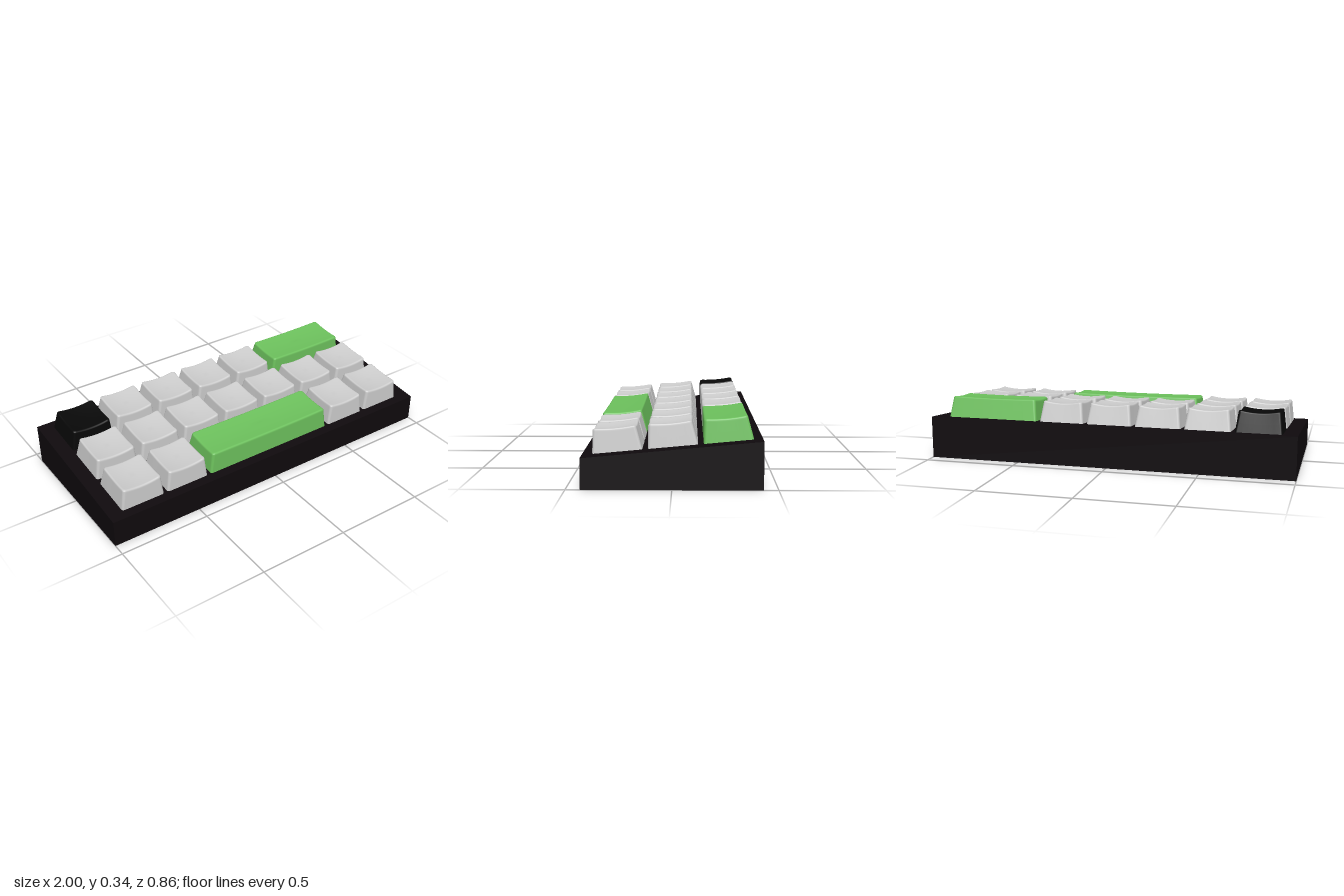
import * as THREE from 'three';

const HALF_DEPTH = 0.43;
const PITCH = 0.265;
const caseTop = z => 0.15 + 0.08 * (HALF_DEPTH - z) / (2 * HALF_DEPTH);

// Rounded rectangle as [x, z] points, with extra points along each side
function outline(hw, hd, r) {
  const pts = [], arc = 5, side = 8;
  const corners = [[1, 1], [-1, 1], [-1, -1], [1, -1]];
  corners.forEach(([sx, sz], q) => {
    const cx = sx * (hw - r), cz = sz * (hd - r);
    for (let i = 0; i <= arc; i++) {
      const a = (q + i / arc) * Math.PI / 2;
      pts.push([cx + r * Math.cos(a), cz + r * Math.sin(a)]);
    }
    const [nx, nz] = corners[(q + 1) % 4];
    const a = (q + 1) * Math.PI / 2;
    const ex = nx * (hw - r) + r * Math.cos(a), ez = nz * (hd - r) + r * Math.sin(a);
    const [px, pz] = pts[pts.length - 1];
    for (let i = 1; i < side; i++) {
      pts.push([px + (ex - px) * i / side, pz + (ez - pz) * i / side]);
    }
  });
  return pts;
}

// Tapered keycap: upright front, sloped back and a dished top
function keycapGeometry(cx, units, row) {
  const hw = 0.123 + (units - 1) * PITCH / 2, topHw = hw - 0.014;
  const front = 0.38 - PITCH * row, back = front - 0.24, topBack = front - 0.21;
  const frontY = 0.275 + 0.0235 * row;
  const sag = units > 1 ? 0.004 : 0.013;
  const topZ = (front + topBack) / 2, topHd = (front - topBack) / 2;

  const surface = (x, z) => {
    const s = (front - z) / (front - topBack), u = x / topHw;
    return frontY + 0.018 * s - 0.028 * s * (1 - s) - sag * (1 - u * u);
  };

  const low = outline(hw, (front - back) / 2, 0.012);
  const high = outline(topHw, topHd, 0.015);
  const n = low.length, pos = [], index = [];
  let rings = 0;
  const addRing = fn => {
    for (let j = 0; j < n; j++) pos.push(...fn(j));
    rings++;
  };

  // Walls
  const bevel = 0.009;
  const wall = t => addRing(j => {
    const zl = low[j][1] + (front + back) / 2, zh = high[j][1] + topZ;
    const yl = caseTop(zl) - 0.006, yh = surface(high[j][0], zh) - bevel;
    return [
      cx + THREE.MathUtils.lerp(low[j][0], high[j][0], t),
      THREE.MathUtils.lerp(yl, yh, t),
      THREE.MathUtils.lerp(zl, zh, t)
    ];
  });
  [0, 0.5, 0.95, 1].forEach(wall);

  // Rounded rim
  for (const deg of [30, 60, 90]) {
    const a = deg * Math.PI / 180, inset = bevel * (1 - Math.cos(a));
    addRing(j => {
      const x = high[j][0] * (1 - inset / topHw);
      const z = high[j][1] * (1 - inset / topHd) + topZ;
      return [cx + x, surface(x, z) - bevel * (1 - Math.sin(a)), z];
    });
  }

  // Dished top, closing towards the middle
  for (const f of [0.97, 0.8, 0.6, 0.4, 0.2, 0]) {
    addRing(j => {
      const x = high[j][0] * (1 - bevel / topHw) * f;
      const z = high[j][1] * (1 - bevel / topHd) * f + topZ;
      return [cx + x, surface(x, z), z];
    });
  }

  for (let k = 0; k < rings - 1; k++) {
    for (let j = 0; j < n; j++) {
      const a = k * n + j, b = k * n + (j + 1) % n;
      index.push(a, a + n, b);
      if (k < rings - 2) index.push(b, a + n, b + n);
    }
  }
  const g = new THREE.BufferGeometry();
  g.setAttribute('position', new THREE.Float32BufferAttribute(pos, 3));
  g.setIndex(index);
  g.computeVertexNormals();
  // The middle points coincide, so they share one upright normal
  for (let j = (rings - 1) * n; j < rings * n; j++) g.attributes.normal.setXYZ(j, 0, 1, 0);
  return g;
}

export function createModel() {
  const model = new THREE.Group();
  model.name = 'keyboard';
  const white = new THREE.MeshStandardMaterial({ color: 0xcccccc });
  const green = new THREE.MeshStandardMaterial({ color: 0x6cc05c });
  const black = new THREE.MeshStandardMaterial({ color: 0x080808 });
  const dark = new THREE.MeshStandardMaterial({ color: 0x0f0a0d });

  // Wedge case, rising towards the back
  const wedge = new THREE.BoxGeometry(2, 1, 2 * HALF_DEPTH);
  const p = wedge.attributes.position;
  for (let i = 0; i < p.count; i++) p.setY(i, p.getY(i) > 0 ? caseTop(p.getZ(i)) : 0);
  wedge.computeVertexNormals();
  const body = new THREE.Mesh(wedge, dark);
  body.name = 'case';
  model.add(body);

  // Rows from front to back: [width in key units, material, name]
  const key = [1, white, 'key'];
  const rows = [
    [key, key, [3, green, 'spaceBar'], key, key],
    Array(7).fill(key),
    [[1, black, 'cornerKey'], key, key, key, key, [2, green, 'wideKey']]
  ];
  rows.forEach((keys, row) => {
    const group = new THREE.Group();
    group.name = ['frontRow', 'middleRow', 'backRow'][row];
    let left = -0.004 - 3.5 * PITCH;
    for (const [units, material, name] of keys) {
      const mesh = new THREE.Mesh(keycapGeometry(left + units * PITCH / 2, units, row), material);
      mesh.name = name;
      group.add(mesh);
      left += units * PITCH;
    }
    model.add(group);
  });
  return model;
}
